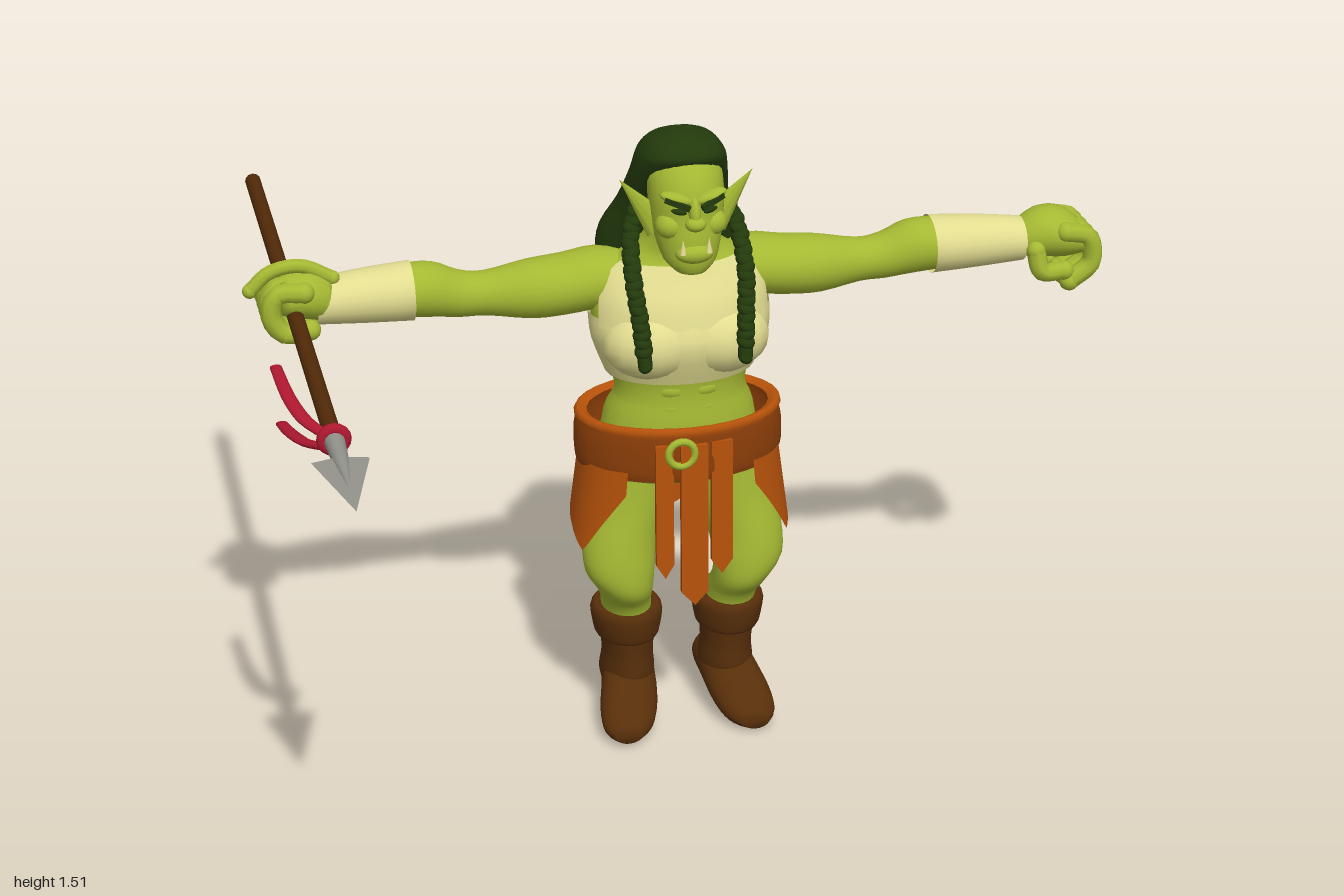
import * as THREE from 'three';
import { mergeVertices } from 'three/addons/utils/BufferGeometryUtils.js';

const mat = (name, color, side = THREE.FrontSide) => {
  const m = new THREE.MeshStandardMaterial({ color, side });
  m.name = name;
  return m;
};
const D = THREE.DoubleSide;
// Signed power, squares off an ellipse when p < 1
const sq = (v, p) => Math.sign(v) * Math.abs(v) ** p;

// Smooth grid surface from a rule f(u, v) -> [x, y, z]
function sheet(nu, nv, f) {
  const pos = [], idx = [];
  for (let j = 0; j <= nv; j++) for (let i = 0; i <= nu; i++) pos.push(...f(i / nu, j / nv));
  for (let j = 0; j < nv; j++) for (let i = 0; i < nu; i++) {
    const a = j * (nu + 1) + i, b = a + nu + 1;
    idx.push(a, a + 1, b + 1, a, b + 1, b);
  }
  let g = new THREE.BufferGeometry();
  g.setAttribute('position', new THREE.Float32BufferAttribute(pos, 3));
  g.setIndex(idx);
  g = mergeVertices(g, 1e-5);
  g.computeVertexNormals();
  return g;
}

// Elliptic loft along an axis; sections are [t, centre1, centre2, radius1, radius2], ascending t
function loft(sections, { axis = 'y', cap = true, from = -Math.PI, to = Math.PI, n = 24, p = 1 } = {}) {
  const cr = (a, b, c, d, t) => b + 0.5 * t * (c - a + t * (2 * a - 5 * b + 4 * c - d + t * (3 * (b - c) + d - a)));
  const rings = [], last = sections.length - 1, S = i => sections[Math.max(0, Math.min(last, i))];
  for (let i = 0; i < last; i++) for (let k = 0; k < 3; k++)
    rings.push(S(i).map((_, c) => cr(S(i - 1)[c], S(i)[c], S(i + 1)[c], S(i + 2)[c], k / 3)));
  rings.push(S(last));
  if (cap) {
    const flat = r => [r[0], r[1], r[2], 0, 0];
    rings.unshift(flat(rings[0]));
    rings.push(flat(S(last)));
  }
  return sheet(n, rings.length - 1, (u, v) => {
    const [t, c1, c2, r1, r2] = rings[Math.round(v * (rings.length - 1))];
    const th = from + u * (to - from), s = r1 * sq(Math.sin(th), p), c = r2 * sq(Math.cos(th), p);
    if (axis === 'x') return [t, c1 - s, c2 + c];
    if (axis === 'z') return [c1 + s, c2 - c, t];
    return [c1 + s, t, c2 + c];
  });
}

export function createModel() {
  const M = {
    skin: mat('green skin', 0xa5b933), hair: mat('dark green hair', 0x233a0c),
    cloth: mat('cream cloth', 0xe2dc90, D), leather: mat('orange leather', 0xb6520a, D),
    belt: mat('brown belt leather', 0x8a3d08, D), boot: mat('boot leather', 0x582f0a),
    wood: mat('spear wood', 0x522a08), steel: mat('grey steel', 0x93938c), red: mat('red ribbon', 0xb01830),
  };
  const model = new THREE.Group();
  model.name = 'warrior';
  const body = new THREE.Group();
  body.name = 'body';
  body.position.x = -0.012;
  model.add(body);

  const add = (parent, name, geo, m, p = [0, 0, 0], r = [0, 0, 0], s = [1, 1, 1]) => {
    const o = new THREE.Mesh(geo, m);
    o.name = name;
    o.position.set(...p); o.rotation.set(...r); o.scale.set(...s);
    parent.add(o);
  };
  const curve = pts => new THREE.CatmullRomCurve3(pts.map(p => new THREE.Vector3(...p)));
  const ball = new THREE.SphereGeometry(1, 16, 12);
  // Rounded tube: a finger, with a ball at each end
  const finger = (parent, name, pts, r) => {
    add(parent, name, new THREE.TubeGeometry(curve(pts), 12, r, 8), M.skin);
    for (const p of [pts[0], pts[pts.length - 1]]) add(parent, name + 'Tip', ball, M.skin, p, [0, 0, 0], [r, r, r]);
  };

  // Torso and neck
  add(body, 'torso', loft([
    [0.68, 0, -0.075, 0.2, 0.13], [0.82, 0, -0.075, 0.178, 0.125], [0.88, 0, -0.063, 0.155, 0.106],
    [0.94, 0, -0.063, 0.165, 0.11], [1.02, 0, -0.06, 0.2, 0.135], [1.1, 0, -0.075, 0.205, 0.13],
    [1.17, 0, -0.09, 0.185, 0.11], [1.22, 0, -0.09, 0.115, 0.085], [1.27, 0, -0.065, 0.075, 0.075],
    [1.35, 0, -0.05, 0.07, 0.07]]), M.skin);
  // Chest wrap
  add(body, 'chestBand', loft([[0.93, 0, -0.065, 0.175, 0.12], [1.02, 0, -0.06, 0.208, 0.145],
    [1.08, 0, -0.072, 0.213, 0.14]], { cap: false }), M.cloth);
  add(body, 'chestFront', loft([[1.06, 0, -0.068, 0.212, 0.142], [1.12, 0, -0.078, 0.21, 0.134],
    [1.17, 0, -0.09, 0.192, 0.118], [1.205, 0, -0.09, 0.15, 0.1]], { cap: false, from: -1.2, to: 1.2 }), M.cloth);

  // Paired parts, built on the left and mirrored to the right
  for (const side of [1, -1]) {
    const half = new THREE.Group();
    half.name = side > 0 ? 'leftSide' : 'rightSide';
    half.scale.x = side;
    body.add(half);
    add(half, 'bust', ball, M.cloth, [0.078, 1.022, -0.002], [0, 0, 0], [0.118, 0.088, 0.092]);
    for (const y of [0.905, 0.86]) add(half, 'abdominal', ball, M.skin, [0.038, y, 0.012], [0, 0.2, 0], [0.045, 0.027, 0.03]);

    // Arm and wrist wrap
    add(half, 'arm', loft([
      [0.1, 1.14, -0.11, 0.06, 0.07], [0.18, 1.145, -0.115, 0.07, 0.085], [0.26, 1.135, -0.115, 0.07, 0.08],
      [0.34, 1.13, -0.115, 0.068, 0.073], [0.44, 1.125, -0.125, 0.052, 0.053], [0.5, 1.13, -0.125, 0.055, 0.055],
      [0.56, 1.148, -0.12, 0.064, 0.063], [0.64, 1.153, -0.115, 0.06, 0.066], [0.85, 1.152, -0.1, 0.042, 0.047]],
      { axis: 'x' }), M.skin);
    add(half, 'wristWrap', loft([[0.61, 1.152, -0.115, 0.068, 0.074], [0.72, 1.152, -0.11, 0.062, 0.066],
      [0.83, 1.152, -0.101, 0.052, 0.056]], { axis: 'x', cap: false }), M.cloth);

    // Hand: the left curls into a loose fist, the right grips the spear
    if (side > 0) {
      add(half, 'palm', loft([[0.82, 1.155, -0.1, 0.04, 0.045], [0.87, 1.165, -0.1, 0.058, 0.066],
        [0.93, 1.16, -0.105, 0.058, 0.08], [0.97, 1.15, -0.105, 0.04, 0.074]], { axis: 'x' }), M.skin);
      for (let i = 0; i < 4; i++) {
        const z = -0.165 + i * 0.041;
        finger(half, 'finger', [[0.92, 1.18, z], [0.975, 1.165, z], [0.987, 1.1, z], [0.935, 1.057, z]], 0.024);
      }
      finger(half, 'thumb', [[0.85, 1.14, -0.045], [0.865, 1.09, -0.035], [0.92, 1.085, -0.04]], 0.023);
    } else {
      add(half, 'palm', loft([[0.79, 1.16, -0.1, 0.045, 0.045], [0.84, 1.175, -0.1, 0.06, 0.07],
        [0.91, 1.18, -0.1, 0.045, 0.075]], { axis: 'x' }), M.skin);
      for (let i = 0; i < 4; i++) {
        const z = -0.16 + i * 0.04;
        finger(half, 'finger', [[0.86, 1.2, z], [0.92, 1.2, z], [0.935, 1.15, z], [0.905, 1.105, z], [0.85, 1.11, z]], 0.024);
      }
      finger(half, 'thumb', [[0.79, 1.21, -0.09], [0.86, 1.245, -0.09], [0.93, 1.235, -0.09], [0.975, 1.195, -0.09]], 0.017);
    }

    // Leg
    add(half, 'leg', loft([
      [0.27, 0.125, -0.09, 0.06, 0.075], [0.33, 0.13, -0.075, 0.06, 0.076], [0.38, 0.14, -0.035, 0.066, 0.075],
      [0.44, 0.155, -0.02, 0.083, 0.067], [0.52, 0.15, -0.045, 0.09, 0.083], [0.62, 0.122, -0.07, 0.095, 0.095],
      [0.75, 0.1, -0.08, 0.09, 0.1]]), M.skin);
    // Boot: shaft, folded cuff and foot
    add(half, 'bootShaft', loft([[0.08, 0.12, -0.125, 0.06, 0.08], [0.12, 0.122, -0.11, 0.066, 0.09],
      [0.18, 0.122, -0.1, 0.061, 0.08], [0.26, 0.125, -0.098, 0.07, 0.086]]), M.boot);
    add(half, 'bootCuff', loft([[0.225, 0.124, -0.098, 0.068, 0.084], [0.235, 0.124, -0.097, 0.078, 0.094],
      [0.29, 0.125, -0.094, 0.086, 0.1], [0.31, 0.125, -0.09, 0.076, 0.09]]), M.boot);
    add(half, 'foot', loft([
      [-0.21, 0.115, 0.1, 0.035, 0.025], [-0.17, 0.115, 0.107, 0.06, 0.055], [-0.09, 0.122, 0.1, 0.066, 0.068],
      [-0.01, 0.138, 0.066, 0.07, 0.057], [0.045, 0.15, 0.042, 0.06, 0.039], [0.08, 0.156, 0.032, 0.032, 0.02]],
      { axis: 'z' }), M.boot);

    // Face details, ear and braid
    add(half, 'ear', new THREE.ConeGeometry(0.038, 0.15, 10), M.skin, [0.107, 1.365, 0.005], [0, 0, -0.66], [1, 1, 0.45]);
    add(half, 'cheek', ball, M.skin, [0.046, 1.325, 0.052], [0, 0, 0], [0.036, 0.032, 0.036]);
    add(half, 'browRidge', ball, M.skin, [0.036, 1.395, 0.075], [0, 0, 0.3], [0.042, 0.014, 0.022]);
    add(half, 'eyebrow', new THREE.BoxGeometry(0.06, 0.013, 0.009), M.hair, [0.04, 1.389, 0.096], [0, 0.35, 0.35]);
    add(half, 'eye', ball, M.hair, [0.036, 1.369, 0.091], [0, 0.35, 0.15], [0.018, 0.007, 0.006]);
    add(half, 'tusk', new THREE.ConeGeometry(0.008, 0.036, 8), M.cloth, [0.03, 1.29, 0.104]);
    const braid = curve([[0.1, 1.34, -0.045], [0.122, 1.29, -0.02], [0.13, 1.2, 0.04], [0.122, 1.1, 0.08], [0.116, 1.005, 0.1]]);
    add(half, 'braidCore', new THREE.TubeGeometry(braid, 20, 0.017, 8), M.hair);
    for (let i = 0; i <= 20; i++) {
      const p = braid.getPointAt(i / 20), r = i > 18 ? 0.017 : 0.022;
      add(half, 'braidKnot', ball, M.hair, [p.x, p.y, p.z], [0.3, 0, i % 2 ? 0.5 : -0.5], [r, r * 0.8, r]);
    }
  }

  // Head
  add(body, 'head', loft([
    [1.215, 0, 0.055, 0.035, 0.035], [1.24, 0, 0.042, 0.06, 0.057], [1.29, 0, 0.018, 0.076, 0.083],
    [1.34, 0, 0.005, 0.084, 0.088], [1.39, 0, 0, 0.086, 0.09], [1.44, 0, -0.02, 0.083, 0.09],
    [1.49, 0, -0.03, 0.06, 0.06]]), M.skin);
  add(body, 'noseBridge', ball, M.skin, [0, 1.362, 0.09], [-0.25, 0, 0], [0.014, 0.038, 0.02]);
  add(body, 'noseTip', ball, M.skin, [0, 1.34, 0.1], [0, 0, 0], [0.024, 0.017, 0.02]);
  add(body, 'lips', ball, M.skin, [0, 1.267, 0.088], [0, 0, 0], [0.044, 0.024, 0.026]);
  // Hair: crown flowing into the mane down the back
  add(body, 'hair', loft([
    [1.05, 0, -0.18, 0.11, 0.03], [1.1, 0, -0.177, 0.155, 0.046], [1.18, 0, -0.175, 0.173, 0.06],
    [1.25, 0, -0.165, 0.163, 0.073], [1.32, 0, -0.13, 0.13, 0.077], [1.4, 0, -0.075, 0.112, 0.083],
    [1.45, 0, -0.05, 0.102, 0.094], [1.475, 0, -0.04, 0.092, 0.096], [1.5, 0, -0.035, 0.068, 0.07],
    [1.517, 0, -0.035, 0.02, 0.025]], { p: 0.8, n: 32 }), M.hair);

  // Belt and rolled rim
  add(body, 'belt', loft([[0.695, 0, -0.08, 0.238, 0.161], [0.72, 0, -0.082, 0.246, 0.167],
    [0.78, 0, -0.085, 0.246, 0.167], [0.815, 0, -0.085, 0.238, 0.162]], { cap: false, n: 32 }), M.belt);
  add(body, 'waistRim', loft([[0.805, 0, -0.085, 0.242, 0.165], [0.818, 0, -0.085, 0.245, 0.168],
    [0.83, 0, -0.085, 0.236, 0.161], [0.82, 0, -0.085, 0.215, 0.143]], { cap: false, n: 32 }), M.leather);
  add(body, 'buckle', new THREE.TorusGeometry(0.031, 0.009, 8, 20), M.skin, [-0.03, 0.772, 0.09]);

  // Skirt with pointed hem, open at the front
  const hem = [[0.6, 0.66], [1.15, 0.5], [2.35, 0.63], [Math.PI, 0.47]];
  const hemAt = a => {
    const i = a < hem[1][0] ? 0 : a < hem[2][0] ? 1 : 2;
    return THREE.MathUtils.mapLinear(a, hem[i][0], hem[i + 1][0], hem[i][1], hem[i + 1][1]);
  };
  add(body, 'skirt', sheet(72, 8, (u, v) => {
    const a = 0.6 + u * (2 * Math.PI - 1.2), low = hemAt(Math.min(a, 2 * Math.PI - a));
    const y = low + (0.72 - low) * v, f = (0.72 - y) / 0.22;
    return [(0.235 + 0.03 * f) * sq(Math.sin(a), 0.8), y, -0.08 + 0.157 * sq(Math.cos(a), 0.8)];
  }), M.leather);

  // Hanging front straps: [centre x, width, bottom, z]
  for (const [x, w, low, z] of [[0, 0.064, 0.38, 0.078], [-0.068, 0.042, 0.45, 0.066], [0.068, 0.05, 0.45, 0.066]]) {
    const h = 0.79 - low, s = new THREE.Shape();
    s.moveTo(-w / 2, 0); s.lineTo(-w / 2, 0.035 - h); s.lineTo(0, -h); s.lineTo(w / 2, 0.035 - h); s.lineTo(w / 2, 0);
    add(body, 'frontStrap', new THREE.ExtrudeGeometry(s, { depth: 0.014, bevelEnabled: false }), M.leather, [x, 0.79, z], [-0.02, 0, 0]);
  }

  // Spear, pointing forward
  const spear = new THREE.Group();
  spear.name = 'spear';
  spear.position.set(-0.893, 1.143, 0);
  model.add(spear);
  const rod = (name, r0, r1, z0, z1, m) =>
    add(spear, name, new THREE.CylinderGeometry(r1, r0, z1 - z0, 12), m, [0, 0, (z0 + z1) / 2], [Math.PI / 2, 0, 0]);
  rod('shaft', 0.019, 0.019, -0.9, 0.63, M.wood);
  rod('buttSpike', 0.017, 0.001, -0.9, -0.945, M.steel);
  rod('socket', 0.022, 0.017, 0.615, 0.71, M.steel);
  rod('socketTip', 0.017, 0.002, 0.71, 0.85, M.steel);
  const blade = new THREE.ConeGeometry(0.06, 0.235, 4).toNonIndexed();
  blade.computeVertexNormals();
  add(spear, 'blade', blade, M.steel, [0, 0, 0.8175], [Math.PI / 2, 0, 0], [1, 1, 0.14]);
  add(spear, 'ribbonKnot', new THREE.TorusGeometry(0.024, 0.013, 8, 16), M.red, [0, 0, 0.6]);
  // Flat ribbon tails trailing back from the knot
  for (const [y, end] of [[0.052, 0.33], [-0.052, 0.39]])
    add(spear, 'ribbon', loft([[end, -0.085, y, 0.013, 0.006], [0.46, -0.075, y * 0.8, 0.015, 0.007],
      [0.55, -0.052, y * 0.5, 0.016, 0.008], [0.605, -0.015, y * 0.25, 0.014, 0.01]], { axis: 'z', n: 10 }), M.red);
  return model;
}
